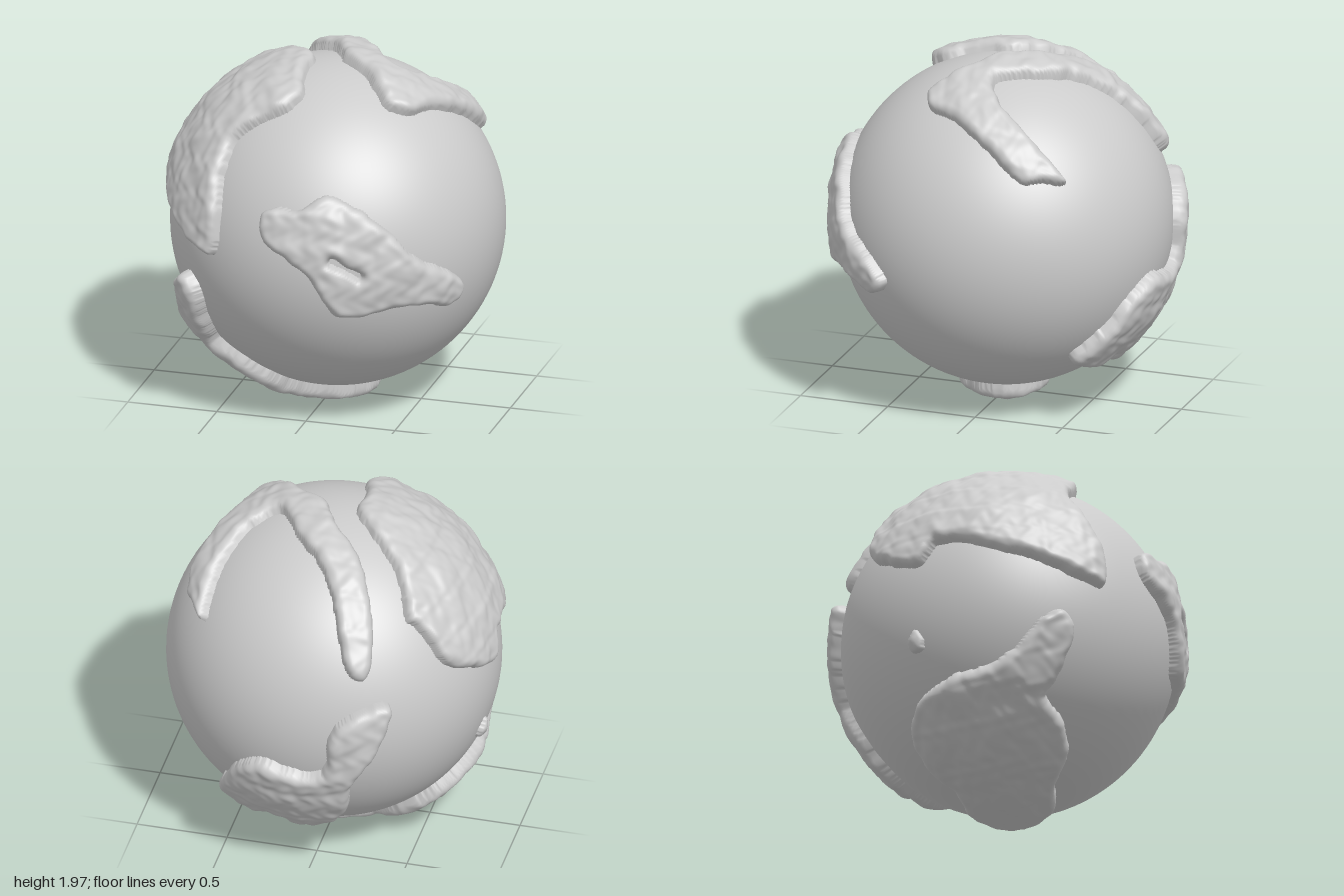
import * as THREE from 'three';

const R = 0.905;
const CENTRE = new THREE.Vector3(0.03, 1.015, -0.01);
const V = (x, y, z) => new THREE.Vector3(x, y, z);

// Flat x,y,z list -> unit directions
function directions(a) {
  const out = [];
  for (let i = 0; i < a.length; i += 3) out.push(V(a[i], a[i + 1], a[i + 2]).normalize());
  return out;
}

// Flat u,v list drawn on a plane facing (azimuth, elevation) -> unit directions on the globe
function lift(azimuth, elevation, a) {
  const az = THREE.MathUtils.degToRad(azimuth), el = THREE.MathUtils.degToRad(elevation);
  const right = V(Math.cos(az), 0, -Math.sin(az));
  const toward = V(Math.sin(az) * Math.cos(el), Math.sin(el), Math.cos(az) * Math.cos(el));
  const up = toward.clone().cross(right);
  const out = [];
  for (let i = 0; i < a.length; i += 2) {
    const w = Math.sqrt(Math.max(0, 0.9 - a[i] ** 2 - a[i + 1] ** 2));
    out.push(V(0, 0, 0).addScaledVector(right, a[i]).addScaledVector(up, a[i + 1])
      .addScaledVector(toward, w).normalize());
  }
  return out;
}

// Smooth bumpy field for the terrain
const bumps = (p, f) =>
  (Math.sin(f * p.x + 2 * Math.sin(0.7 * f * p.y)) + Math.sin(f * p.y + 2 * Math.sin(0.8 * f * p.z))
  + Math.sin(f * p.z + 2 * Math.sin(0.6 * f * p.x))) / 3;

function segmentDistance(p, a, b) {
  const dx = b.x - a.x, dy = b.y - a.y;
  const t = THREE.MathUtils.clamp(((p.x - a.x) * dx + (p.y - a.y) * dy) / (dx * dx + dy * dy || 1), 0, 1);
  return Math.hypot(p.x - a.x - t * dx, p.y - a.y - t * dy);
}

// Distance to a closed outline, positive inside
function insideDistance(p, poly) {
  let d = Infinity, inside = false;
  for (let i = 0, j = poly.length - 1; i < poly.length; j = i++) {
    const a = poly[i], b = poly[j];
    d = Math.min(d, segmentDistance(p, a, b));
    if ((a.y > p.y) !== (b.y > p.y) && p.x < ((b.x - a.x) * (p.y - a.y)) / (b.y - a.y) + a.x) inside = !inside;
  }
  return inside ? d : -d;
}

// Raised land: a grid wrapped on the globe, kept inside the outline and rounded at the shore
function land(name, outline, height, lake) {
  const c = outline.reduce((s, p) => s.add(p), V(0, 0, 0)).normalize();
  const e1 = V(0.31, 0.52, 0.8).cross(c).normalize();
  const e2 = c.clone().cross(e1);
  const flat = (d) => new THREE.Vector2(d.dot(e1), d.dot(e2)).multiplyScalar(2 / (1 + d.dot(c)));
  const poly = new THREE.CatmullRomCurve3(outline, true, 'centripetal')
    .getPoints(outline.length * 4).slice(0, -1).map((p) => flat(p.normalize()));
  const slit = lake && lake.map(flat);
  const box = new THREE.Box2().setFromPoints(poly).expandByScalar(0.03);
  const step = 0.0115;
  const nx = Math.ceil((box.max.x - box.min.x) / step), ny = Math.ceil((box.max.y - box.min.y) / step);
  const pos = [], dist = [], index = [];
  for (let j = 0; j <= ny; j++) {
    for (let i = 0; i <= nx; i++) {
      const q = new THREE.Vector2(box.min.x + i * step, box.min.y + j * step);
      const s = q.lengthSq() / 4;
      const dir = c.clone().multiplyScalar(1 - s).addScaledVector(e1, q.x).addScaledVector(e2, q.y)
        .divideScalar(1 + s);
      let d = insideDistance(q, poly);
      if (slit) d = Math.min(d, segmentDistance(q, slit[0], slit[1]) - 0.014);
      d += 0.008 * bumps(dir, 38);
      const t = THREE.MathUtils.clamp(d / 0.06, 0, 1);
      const rise = Math.sqrt(1 - (1 - t) ** 2);
      const r = d <= 0 ? R - 0.025
        : R + rise * (height + 0.009 * bumps(dir, 21) + 0.005 * bumps(dir, 55));
      dist.push(d);
      pos.push(...dir.multiplyScalar(r).toArray());
    }
  }
  const w = nx + 1;
  for (let j = 0; j < ny; j++) {
    for (let i = 0; i < nx; i++) {
      const a = j * w + i, b = a + 1, e = b + w, f = a + w;
      if (Math.max(dist[a], dist[b], dist[e], dist[f]) > 0) index.push(a, b, e, a, e, f);
    }
  }
  const g = new THREE.BufferGeometry();
  g.setAttribute('position', new THREE.Float32BufferAttribute(pos, 3));
  g.setIndex(index);
  g.computeVertexNormals();
  const mesh = new THREE.Mesh(g, new THREE.MeshStandardMaterial({ color: 0xcccccc, side: THREE.DoubleSide }));
  mesh.name = name;
  return mesh;
}

export function createModel() {
  const globe = new THREE.Group();
  globe.name = 'planet';
  globe.position.copy(CENTRE);

  const ocean = new THREE.Mesh(new THREE.SphereGeometry(R, 96, 64),
    new THREE.MeshStandardMaterial({ color: 0xcccccc }));
  ocean.name = 'oceanSphere';
  globe.add(ocean);

  // Front continent with a narrow lake
  globe.add(land('frontContinent', lift(0, 0, [
    -0.18, 0.33, -0.08, 0.37, 0.03, 0.37, 0.12, 0.43, 0.19, 0.45, 0.3, 0.41, 0.44, 0.32, 0.55, 0.22,
    0.65, 0.09, 0.75, 0.01, 0.81, -0.06, 0.84, -0.16, 0.77, -0.25, 0.69, -0.21, 0.57, -0.2, 0.47, -0.22,
    0.35, -0.24, 0.24, -0.23, 0.17, -0.12, 0.1, 0, -0.03, 0.1, -0.16, 0.17,
  ]), 0.066, lift(0, 0, [0.23, 0.1, 0.38, 0.01])));

  // Largest continent, on the upper right side
  globe.add(land('largeContinent', directions([
    -0.75, 0.34, -0.465, -0.59, 0.57, -0.48, -0.54, 0.6, -0.49, -0.44, 0.79, -0.3, -0.26, 0.9, -0.145,
    -0.13, 0.94, 0.01, -0.13, 0.92, 0.21, -0.09, 0.85, 0.41, -0.18, 0.78, 0.51, -0.31, 0.72, 0.53,
    -0.42, 0.62, 0.58, -0.45, 0.52, 0.65, -0.45, 0.19, 0.81, -0.48, 0.03, 0.82, -0.55, 0.03, 0.78,
    -0.71, 0.1, 0.62, -0.86, 0.2, 0.36, -0.91, 0.28, 0, -0.93, 0.16, -0.09, -0.87, 0.22, -0.3,
  ]), 0.066));

  // V-shaped continent over the top
  globe.add(land('topContinent', lift(0, 90, [
    -0.4, 0.715, -0.37, 0.79, -0.295, 0.81, -0.21, 0.73, -0.145, 0.585, -0.03, 0.43, 0.13, 0.275,
    0.22, 0.14, 0.31, 0.04, 0.44, 0.12, 0.54, 0.3, 0.58, 0.44, 0.6, 0.57, 0.67, 0.47, 0.735, 0.35,
    0.68, 0.12, 0.57, -0.115, 0.49, -0.27, 0.39, -0.32, 0.285, -0.24, 0.18, -0.115, 0.05, -0.03,
    -0.05, 0.145, -0.21, 0.3, -0.335, 0.51,
  ]), 0.07));

  // Continent low on the back, with an arm reaching up
  globe.add(land('backContinent', lift(145, -30, [
    -0.08, -0.13, 0.08, 0.08, 0.19, 0.21, 0.36, 0.29, 0.52, 0.21, 0.66, 0.16, 0.7, 0.38, 0.77, 0.43,
    0.86, 0.36, 0.85, 0.16, 0.74, 0, 0.66, -0.2, 0.47, -0.36, 0.3, -0.37, 0.26, -0.25, 0.11, -0.28,
    -0.05, -0.2,
  ]), 0.07));

  // Continent under the globe, with an arm up the front
  globe.add(land('bottomContinent', directions([
    -0.67, -0.16, 0.64, -0.6, -0.24, 0.69, -0.56, -0.49, 0.58, -0.55, -0.6, 0.5, -0.42, -0.67, 0.52,
    -0.235, -0.785, 0.48, -0.1, -0.88, 0.34, 0.15, -0.92, 0.2, 0.23, -0.916, -0.065, 0.02, -0.92, -0.22,
    -0.26, -0.89, -0.2, -0.43, -0.79, -0.29, -0.63, -0.65, -0.28, -0.75, -0.55, -0.15, -0.8, -0.48, 0.08,
    -0.79, -0.46, 0.28, -0.77, -0.36, 0.44, -0.735, -0.21, 0.56,
  ]), 0.085));

  // Small island
  globe.add(land('island', directions([
    -0.88, -0.21, -0.14, -0.88, -0.27, -0.19, -0.86, -0.34, -0.17, -0.87, -0.33, -0.1, -0.9, -0.26, -0.1,
  ]), 0.04));

  const model = new THREE.Group();
  model.name = 'planetModel';
  model.add(globe);
  return model;
}
